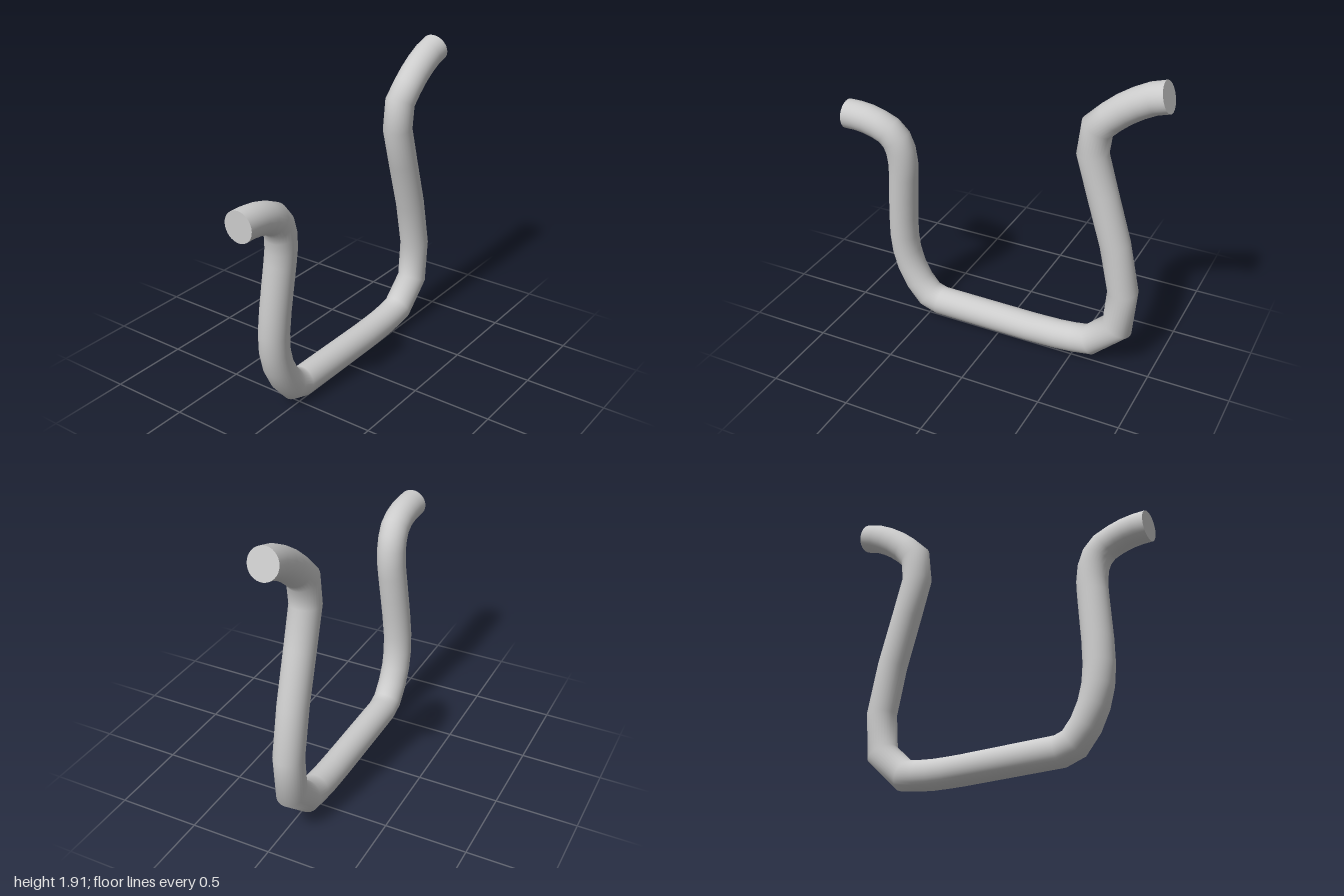
import * as THREE from 'three';

const RADIUS = 0.091;
const SIDES = 32;

// Centre line of the bent bar: right arm, base, left arm.
const PATH = [
  [-1, 1.35, 0.034], [-0.93, 1.35, 0.034], [-0.86, 1.343, 0.035], [-0.79, 1.325, 0.035],
  [-0.72, 1.293, 0.03], [-0.673, 1.24, 0.023], [-0.648, 1.17, 0.018], [-0.64, 1.08, 0.012],
  [-0.645, 1.0, 0.006], [-0.66, 0.84, -0.006], [-0.673, 0.7, -0.016], [-0.68, 0.55, -0.026],
  [-0.671, 0.43, -0.032], [-0.642, 0.32, -0.035], [-0.59, 0.215, -0.035], [-0.515, 0.125, -0.035],
  [-0.43, 0.096, -0.035], [0.2, 0.094, -0.035], [0.3, 0.096, -0.035], [0.4, 0.1, -0.035],
  [0.5, 0.11, -0.035], [0.605, 0.128, -0.035], [0.775, 0.287, -0.035], [0.795, 0.545, -0.035],
  [0.73, 0.85, -0.035], [0.635, 1.165, -0.035], [0.565, 1.405, -0.035], [0.585, 1.57, -0.035],
  [0.66, 1.645, -0.035], [0.735, 1.708, -0.035], [0.81, 1.758, -0.035], [0.89, 1.8, -0.035],
  [0.972, 1.825, -0.035],
].map((p) => new THREE.Vector3(...p));

function makeGeometry(points, index) {
  const geometry = new THREE.BufferGeometry().setFromPoints(points);
  geometry.setIndex(index);
  geometry.computeVertexNormals();
  return geometry;
}

// Rings of a round bar, mitred at every bend of the path.
function mitredRings(path) {
  const dirs = path.slice(1).map((p, i) => p.clone().sub(path[i]).normalize());
  const u = new THREE.Vector3(0, 0, 1).cross(dirs[0]).normalize();
  const v = dirs[0].clone().cross(u);
  const rings = [Array.from({ length: SIDES }, (_, j) => {
    const a = (j / SIDES) * Math.PI * 2;
    return path[0].clone().addScaledVector(u, RADIUS * Math.cos(a)).addScaledVector(v, RADIUS * Math.sin(a));
  })];
  for (let i = 1; i < path.length; i++) {
    const dir = dirs[i - 1];
    const normal = dir.clone().add(dirs[i] ?? dir).normalize();
    rings.push(rings[i - 1].map((q) => {
      const travel = path[i].clone().sub(q).dot(normal) / dir.dot(normal);
      return q.clone().addScaledVector(dir, travel);
    }));
  }
  return rings;
}

function sweepGeometry(rings) {
  const index = [];
  for (let i = 0; i < rings.length - 1; i++) {
    for (let j = 0; j < SIDES; j++) {
      const k = (j + 1) % SIDES;
      const a = i * SIDES + j, b = i * SIDES + k;
      index.push(a, b, b + SIDES, a, b + SIDES, a + SIDES);
    }
  }
  return makeGeometry(rings.flat(), index);
}

function capGeometry(centre, ring, flip) {
  const index = [];
  for (let j = 0; j < SIDES; j++) {
    const a = j + 1, b = ((j + 1) % SIDES) + 1;
    index.push(0, flip ? b : a, flip ? a : b);
  }
  return makeGeometry([centre, ...ring], index);
}

export function createModel() {
  const group = new THREE.Group();
  group.name = 'bentBar';
  const material = new THREE.MeshStandardMaterial({ color: 0xcccccc });
  const add = (name, geometry) => {
    const mesh = new THREE.Mesh(geometry, material);
    mesh.name = name;
    group.add(mesh);
  };

  const rings = mitredRings(PATH);
  const last = PATH.length - 1;
  add('bar', sweepGeometry(rings));
  // Flat ends
  add('rightEndCap', capGeometry(PATH[0], rings[0], true));
  add('leftEndCap', capGeometry(PATH[last], rings[last], false));
  return group;
}
